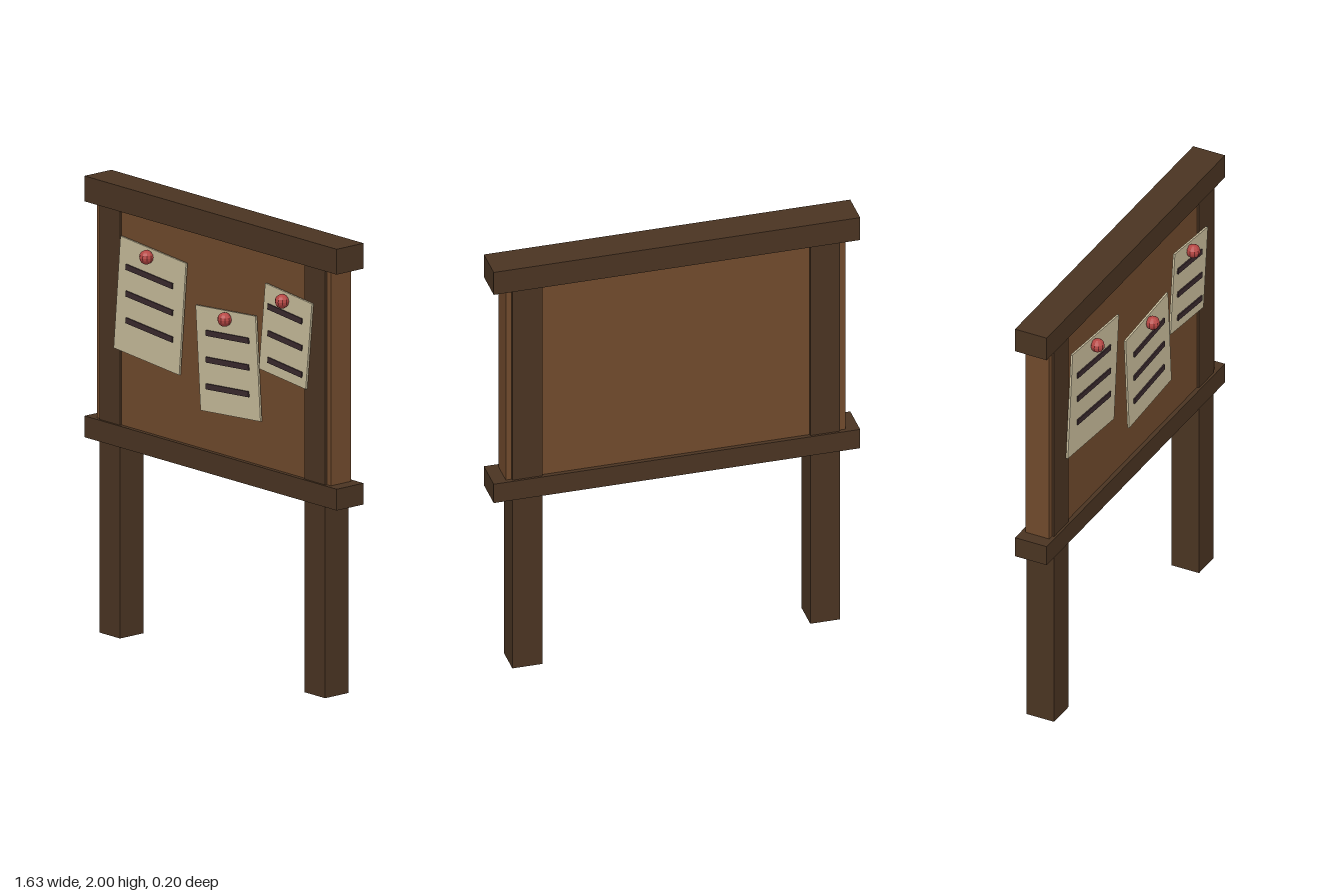
import * as THREE from 'three';

const material = (name, color) => {
  const m = new THREE.MeshStandardMaterial({ color });
  m.name = name;
  return m;
};

export function createModel() {
  const darkWood = material('dark wood', 0x4a3422);
  const boardWood = material('board wood', 0x704a2c);
  const paper = material('paper', 0xc9bd9c);
  const ink = material('ink', 0x3a2a2e);
  const pinRed = material('pin red', 0xb54643);
  pinRed.flatShading = true;

  const model = new THREE.Group();
  model.name = 'noticeBoard';

  const box = (parent, name, mat, [w, h, d], [x, y, z], tilt = 0) => {
    const mesh = new THREE.Mesh(new THREE.BoxGeometry(w, h, d), mat);
    mesh.name = name;
    mesh.position.set(x, y, z);
    mesh.rotation.z = THREE.MathUtils.degToRad(tilt);
    parent.add(mesh);
  };

  // Frame: two posts, two rails and the panel between them
  const midZ = -0.026;
  for (const [side, s] of [['left', 1], ['right', -1]]) {
    box(model, side + 'Post', darkWood, [0.133, 1.95, 0.133], [s * 0.661, 0.975, midZ]);
  }
  box(model, 'topRail', darkWood, [1.626, 0.112, 0.153], [0, 1.944, midZ]);
  box(model, 'lowerRail', darkWood, [1.626, 0.094, 0.153], [0, 0.894, midZ]);
  box(model, 'panel', boardWood, [1.508, 0.98, 0.114], [0, 1.397, midZ]);

  // Pinned notices: sheet, three written lines and a pin
  const notices = [
    { x: -0.39, y: 1.512, w: 0.424, h: 0.504, tilt: -5, line: 0.302, lineY: 1.523, pinY: 1.729 },
    { x: 0.114, y: 1.358, w: 0.387, h: 0.46, tilt: 4, line: 0.275, lineY: 1.357, pinY: 1.555 },
    { x: 0.484, y: 1.551, w: 0.303, h: 0.387, tilt: -6, line: 0.22, lineY: 1.532, pinY: 1.709 },
  ];
  notices.forEach((n, i) => {
    const notice = new THREE.Group();
    notice.name = 'notice' + (i + 1);
    box(notice, 'sheet', paper, [n.w, n.h, 0.009], [n.x, n.y, 0.0475], n.tilt);
    for (const k of [1, 0, -1]) {
      box(notice, 'writtenLine', ink, [n.line, 0.025, 0.008], [n.x, n.lineY + k * 0.118, 0.054], n.tilt);
    }
    const pin = new THREE.Mesh(new THREE.SphereGeometry(0.031, 10, 8), pinRed);
    pin.name = 'pin';
    pin.position.set(n.x, n.pinY, 0.072);
    notice.add(pin);
    model.add(notice);
  });

  return model;
}
